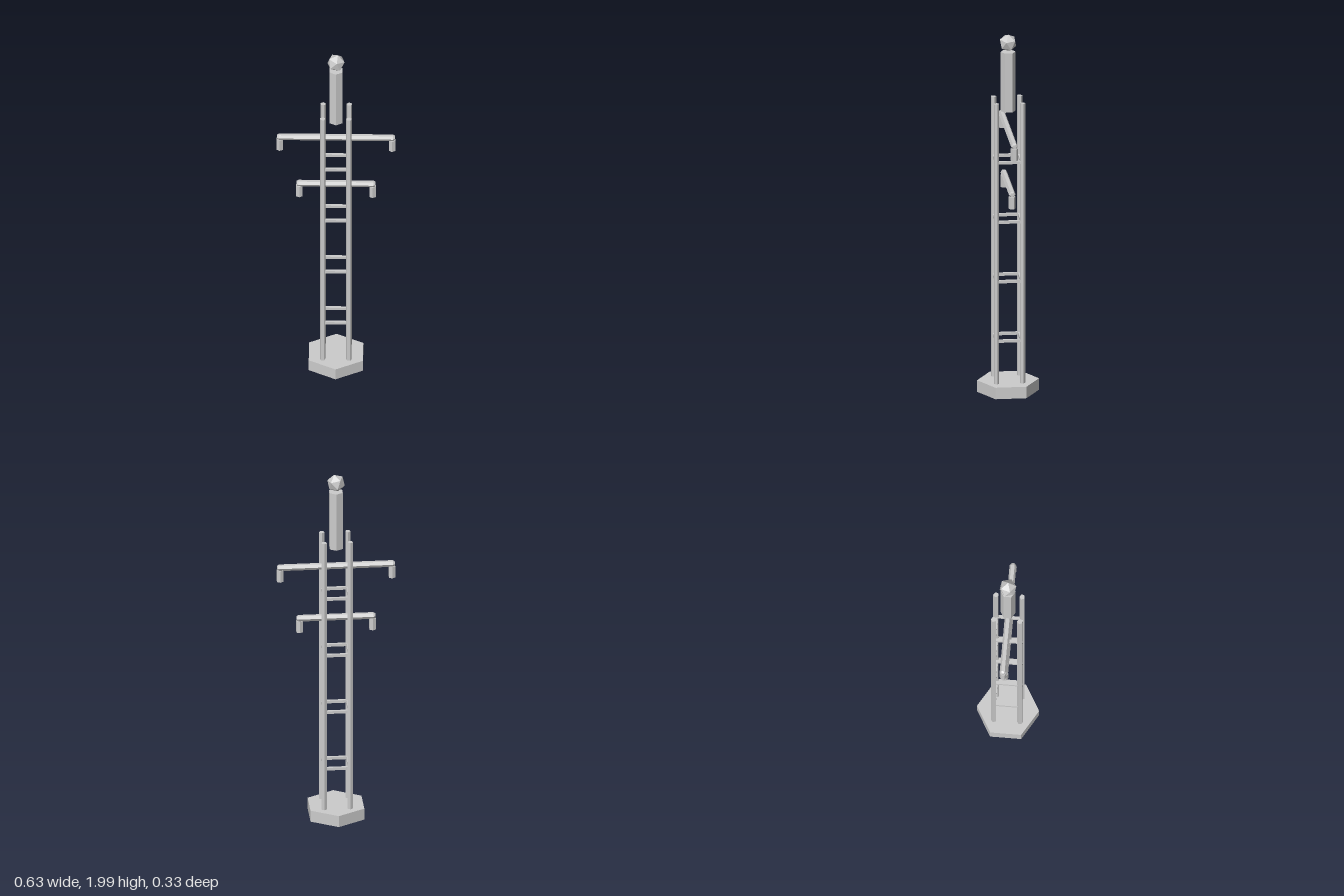
import * as THREE from 'three';

const material = new THREE.MeshStandardMaterial({ color: 0xcccccc, flatShading: true });

export function createModel() {
  const model = new THREE.Group();
  model.name = 'signalTower';

  const add = (name, geometry, x, y, z, parent = model) => {
    const mesh = new THREE.Mesh(geometry, material);
    mesh.name = name;
    mesh.position.set(x, y, z);
    parent.add(mesh);
    return mesh;
  };
  // Upright prism between two heights
  const prism = (name, radius, sides, y0, y1, x = 0, z = 0, parent = model) =>
    add(name, new THREE.CylinderGeometry(radius, radius, y1 - y0, sides), x, (y0 + y1) / 2, z, parent);

  // Hexagonal foot
  prism('base', 0.166, 6, 0.013, 0.077);

  // Four five-sided legs
  const spread = 0.07;
  for (const x of [-spread, spread]) {
    for (const z of [-spread, spread]) {
      prism('leg', 0.0153, 5, 0.04, 1.635, x, z).rotation.y = Math.PI;
    }
  }

  // Square frames of rungs tying the legs together
  const rungOffset = 0.067, rungSize = 0.015;
  for (const y of [0.312, 0.643, 0.974, 1.305]) {
    const frame = new THREE.Group();
    frame.name = 'rungFrame';
    frame.position.y = y;
    model.add(frame);
    for (const side of [-1, 1]) {
      add('rungAcross', new THREE.BoxGeometry(2 * spread, rungSize, rungSize), 0, 0, side * rungOffset, frame);
      add('rungDeep', new THREE.BoxGeometry(rungSize, rungSize, 2 * spread), side * rungOffset, 0, 0, frame);
    }
  }

  // Crossarms with bevelled ends and a hanging insulator at each end
  const crossarm = (y, half, hangX) => {
    const arm = new THREE.Group();
    arm.name = 'crossarm';
    arm.position.y = y;
    model.add(arm);
    const profile = [
      [0, -half], [0.0115, -half], [0.018, 0.011 - half],
      [0.018, half - 0.011], [0.0115, half], [0, half],
    ].map(([r, h]) => new THREE.Vector2(r, h));
    add('beam', new THREE.LatheGeometry(profile, 6).rotateZ(Math.PI / 2), 0, 0, 0, arm);
    for (const side of [-1, 1]) {
      prism('insulator', 0.0192, 6, -0.079, -0.013, side * hangX, 0, arm);
    }
  };
  crossarm(1.468, 0.314, 0.299);
  crossarm(1.168, 0.211, 0.195);

  // Hexagonal mast section
  prism('mast', 0.04, 6, 1.573, 1.902);

  // Faceted beacon, stood on a corner and slightly tilted
  const beacon = new THREE.IcosahedronGeometry(0.049, 0);
  beacon.rotateZ(Math.atan2(0.5257, 0.8507)).rotateY(Math.PI / 2).rotateZ(-0.22);
  add('beacon', beacon, 0, 1.952, 0);

  return model;
}
